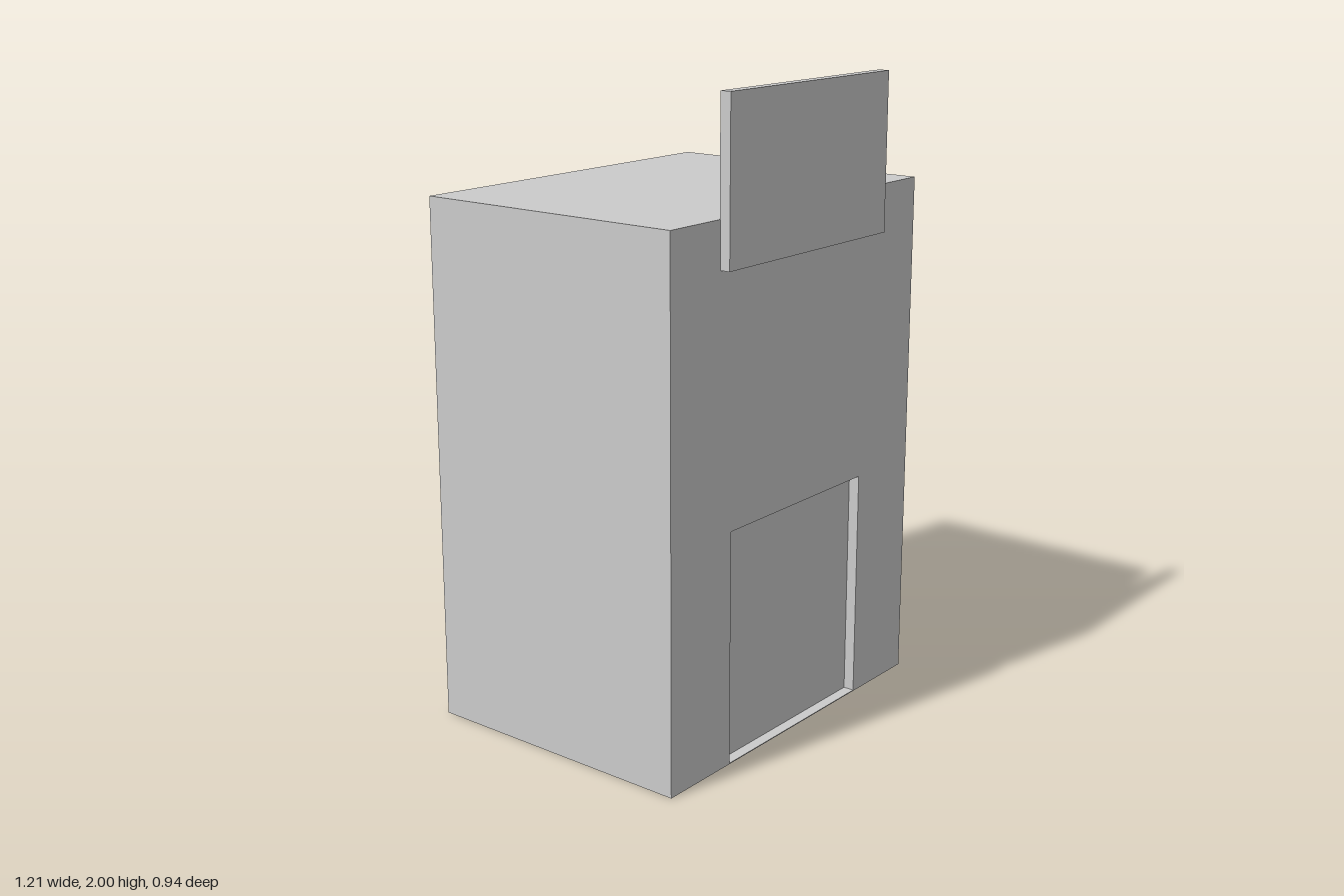
import * as THREE from 'three';

const W = 1.214, H = 1.652;          // building width and height
const BACK = -0.472, FRONT = 0.44;   // z of the outer walls
const RECESS = 0.035;                // depth of the doorway

export function createModel() {
  const group = new THREE.Group();
  const material = new THREE.MeshStandardMaterial({ color: 0xcccccc, flatShading: true });

  const add = (name, geometry, x, y, z) => {
    const mesh = new THREE.Mesh(geometry, material);
    mesh.name = name;
    mesh.position.set(x, y, z);
    group.add(mesh);
  };

  // Main block, ending at the back of the doorway
  const depth = FRONT - RECESS - BACK;
  add('building', new THREE.BoxGeometry(W, H, depth), 0, H / 2, BACK + depth / 2);

  // Front wall with a shallow rectangular doorway above a thin sill
  const rect = (Type, x, y0, y1) => new Type([
    new THREE.Vector2(-x, y0), new THREE.Vector2(x, y0),
    new THREE.Vector2(x, y1), new THREE.Vector2(-x, y1),
  ]);
  const wall = rect(THREE.Shape, W / 2, 0, H);
  wall.holes.push(rect(THREE.Path, 0.332, 0.003, 0.735));
  add('frontWall', new THREE.ExtrudeGeometry(wall, { depth: RECESS, bevelEnabled: false }),
    0, 0, FRONT - RECESS);

  // Blank sign board rising above the roof, slightly set into the wall
  add('signBoard', new THREE.BoxGeometry(0.778, 0.49, 0.035), 0, 1.755, 0.4545);

  return group;
}
